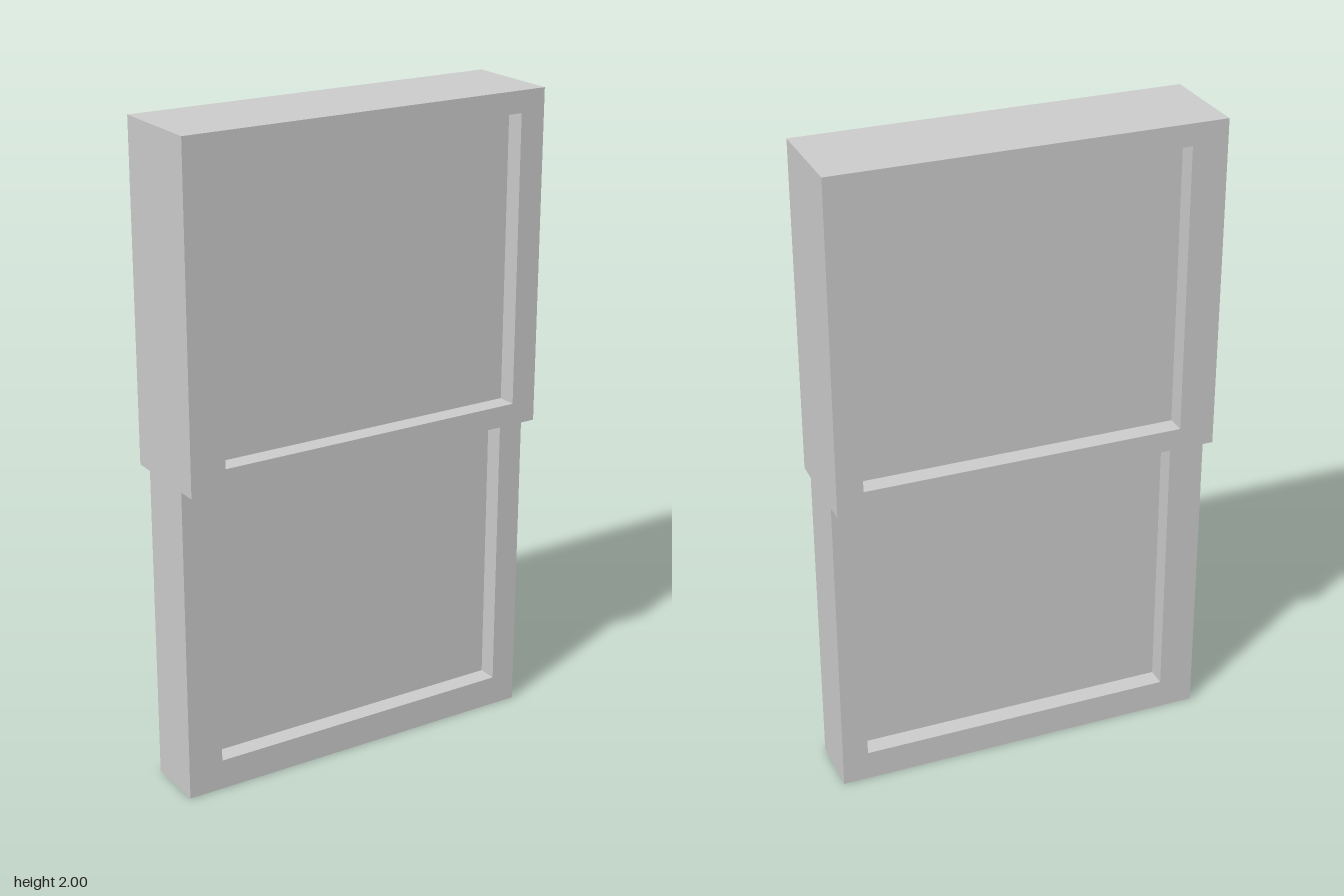
import * as THREE from 'three';

const material = new THREE.MeshStandardMaterial({ color: 0xcccccc, flatShading: true });
const HALF_WIDTH = 0.59;
const OPENING = { left: -0.48, right: 0.51 }; // the opening sits slightly off centre
const RECESS = 0.06;
const SPLIT = 0.98; // height where the two sashes meet

function rectangle(PathType, x0, x1, y0, y1) {
  return new PathType([[x0, y0], [x1, y0], [x1, y1], [x0, y1]].map(([x, y]) => new THREE.Vector2(x, y)));
}

// Extrudes a shape to the given depth, centred on z = 0
function slab(name, shape, depth) {
  const geometry = new THREE.ExtrudeGeometry(shape, { depth, bevelEnabled: false });
  geometry.translate(0, 0, -depth / 2);
  const mesh = new THREE.Mesh(geometry, material);
  mesh.name = name;
  return mesh;
}

// A frame with a pane recessed equally on both faces
function sash(name, frameShape, openBottom, openTop, depth) {
  const group = new THREE.Group();
  group.name = name;
  const pane = rectangle(THREE.Shape, OPENING.left, OPENING.right, openBottom, openTop);
  group.add(slab(name + 'Frame', frameShape, depth), slab(name + 'Pane', pane, depth - 2 * RECESS));
  return group;
}

export function createModel() {
  const model = new THREE.Group();
  model.name = 'slidingWindow';

  // Thick upper sash, framed on all four sides
  const upper = rectangle(THREE.Shape, -HALF_WIDTH, HALF_WIDTH, SPLIT, 2);
  upper.holes.push(rectangle(THREE.Path, OPENING.left, OPENING.right, 1.047, 1.934));
  model.add(sash('upperSash', upper, 1.047, 1.934, 0.31));

  // Thin lower sash: a U-shaped frame whose opening runs up to the upper sash
  const lower = new THREE.Shape([
    [-HALF_WIDTH, 0], [HALF_WIDTH, 0], [HALF_WIDTH, SPLIT], [OPENING.right, SPLIT],
    [OPENING.right, 0.094], [OPENING.left, 0.094], [OPENING.left, SPLIT], [-HALF_WIDTH, SPLIT],
  ].map(([x, y]) => new THREE.Vector2(x, y)));
  model.add(sash('lowerSash', lower, 0.094, SPLIT, 0.19));

  return model;
}
